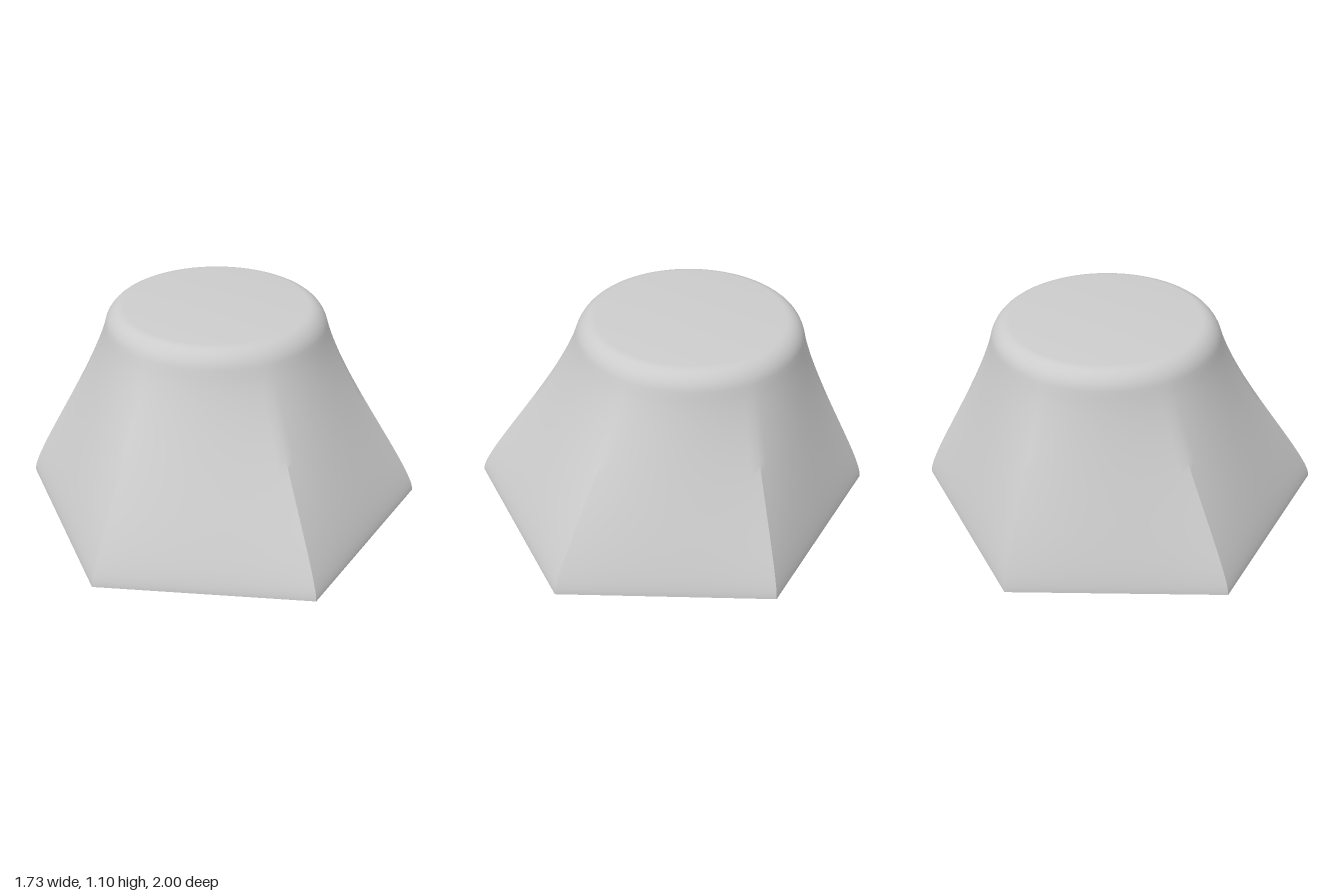
import * as THREE from 'three';
import { toCreasedNormals } from 'three/addons/utils/BufferGeometryUtils.js';

const BASE = 0.117, TOP = 1.095, FILLET = 0.08;
const TOP_RADIUS = 0.522, OFFSET_X = -0.07, OFFSET_Z = -0.061;   // off-centre round top
const START_PULL = 0.4, END_PULL = 0.7;   // how long the wall stays upright at each end
const PER_SIDE = 16, COLS = PER_SIDE * 6, ROWS = 36, FILLET_ROWS = 8;

// Share of the way from hexagon to circle at height y
function blendAt(y) {
  const t = (y - BASE) / (TOP - BASE);
  let lo = 0, hi = 1;
  for (let i = 0; i < 40; i++) {
    const u = (lo + hi) / 2;
    const h = START_PULL * u * (1 - u) ** 2 + u * u * (3 - 2 * u) - END_PULL * u * u * (1 - u);
    if (h < t) lo = u; else hi = u;
  }
  return lo * lo * (3 - 2 * lo);
}

// Point of the hexagon-to-circle loft, shrunk toward its centre by inset
function loftPoint(y, s, col, inset) {
  const k = Math.floor(col / PER_SIDE), f = col / PER_SIDE - k;
  const a0 = k * Math.PI / 3, a1 = a0 + Math.PI / 3, a = a0 + f * Math.PI / 3;
  const shrink = 1 - inset / TOP_RADIUS;
  const mix = (fn, offset) => {
    const hex = fn(a0) * (1 - f) + fn(a1) * f;
    const round = TOP_RADIUS * fn(a);
    return s * offset + shrink * (hex * (1 - s) + round * s);
  };
  return [mix(Math.sin, OFFSET_X), y, mix(Math.cos, OFFSET_Z)];
}

function bodyGeometry() {
  // Rows of the flared wall, then the rounded rim
  const rows = [];
  const wallTop = TOP - FILLET;
  for (let i = 0; i <= ROWS; i++) rows.push([BASE + (wallTop - BASE) * (i / ROWS) ** 1.3, 0]);
  for (let i = 1; i <= FILLET_ROWS; i++) {
    const p = i / FILLET_ROWS * Math.PI / 2;
    rows.push([wallTop + FILLET * Math.sin(p), FILLET * (1 - Math.cos(p))]);
  }
  const pos = [], index = [];
  for (const [y, inset] of rows) {
    const s = blendAt(y);
    for (let c = 0; c < COLS; c++) pos.push(...loftPoint(y, s, c, inset));
  }
  // Flat underside and top close the loft
  const last = rows.length - 1;
  const bottom = rows.length * COLS, top = bottom + 1;
  pos.push(0, BASE, 0, OFFSET_X, TOP, OFFSET_Z);
  for (let c = 0; c < COLS; c++) {
    const n = (c + 1) % COLS;
    for (let r = 0; r < last; r++) {
      const a = r * COLS + c, b = r * COLS + n;
      index.push(a, b, b + COLS, a, b + COLS, a + COLS);
    }
    index.push(bottom, n, c, top, last * COLS + c, last * COLS + n);
  }
  const geo = new THREE.BufferGeometry();
  geo.setAttribute('position', new THREE.Float32BufferAttribute(pos, 3));
  geo.setIndex(index);
  // Sharp corners low on the wall fade into the smooth round top
  return toCreasedNormals(geo, Math.PI / 6);
}

export function createModel() {
  const group = new THREE.Group();
  const material = new THREE.MeshStandardMaterial({ color: 0xcccccc });
  const add = (name, geo, parent) => {
    const mesh = new THREE.Mesh(geo, material);
    mesh.name = name;
    parent.add(mesh);
    return mesh;
  };

  add('flaredBody', bodyGeometry(), group);

  // Small threaded pin under the base
  const pin = new THREE.Group();
  pin.name = 'threadedPin';
  group.add(pin);
  add('pinCore', new THREE.CylinderGeometry(0.0135, 0.0135, BASE + 0.01, 20), pin)
    .position.y = (BASE + 0.01) / 2;

  const helix = [];
  const turns = 4, steps = turns * 16;
  for (let i = 0; i <= steps; i++) {
    const a = i / 16 * Math.PI * 2;
    helix.push(new THREE.Vector3(0.0127 * Math.cos(a), 0.004 + (BASE - 0.004) * i / steps, 0.0127 * Math.sin(a)));
  }
  add('pinThread', new THREE.TubeGeometry(new THREE.CatmullRomCurve3(helix), turns * 24, 0.0025, 6), pin);

  return group;
}
